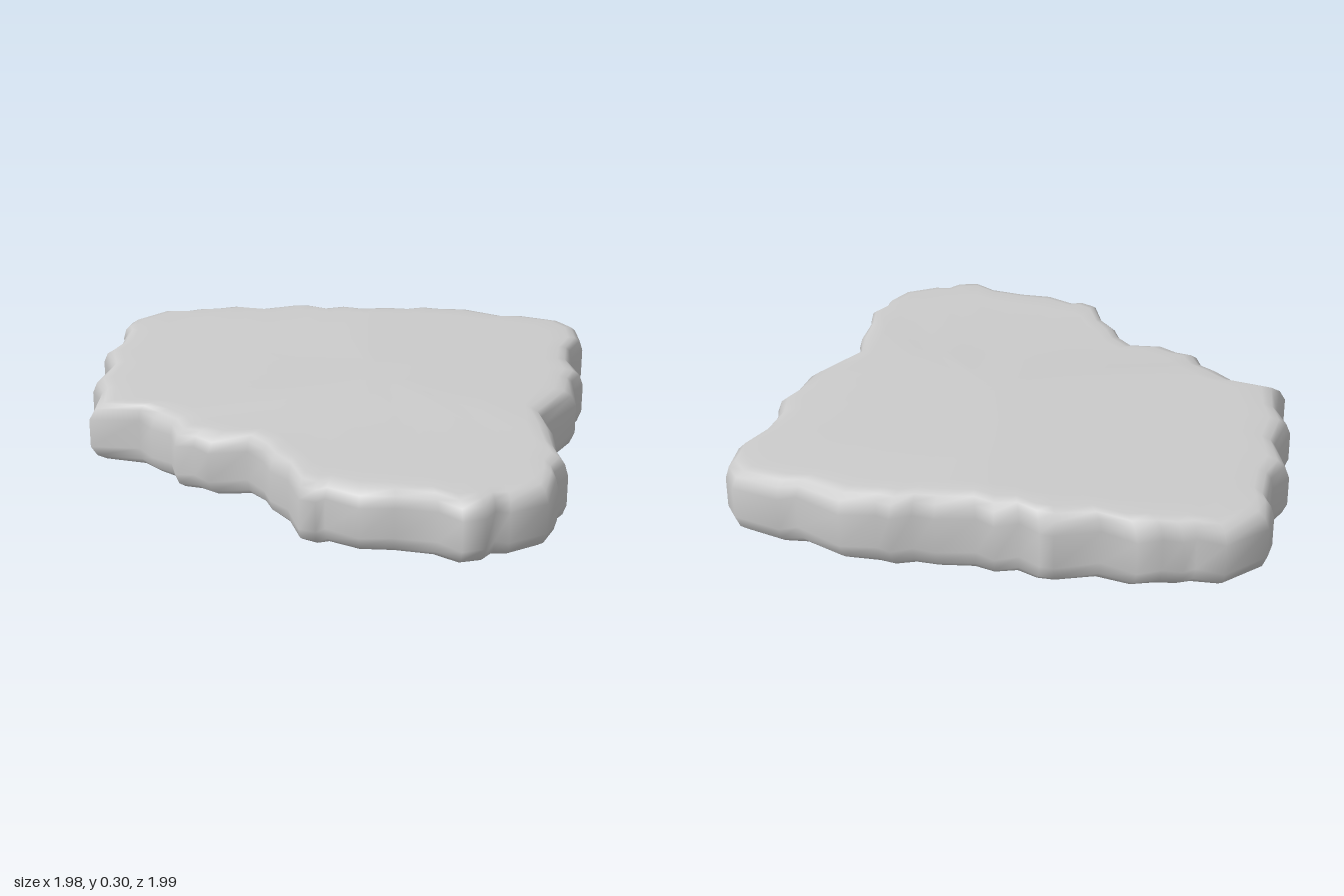
import * as THREE from 'three';

// Ragged rim as x, z pairs, clockwise seen from above
const RIM = [
  -0.95, -0.78, -0.82, -0.92, -0.72, -0.9, -0.68, -0.93, -0.61, -0.93, -0.53, -0.97, -0.4, -0.92,
  -0.25, -0.985, -0.2, -0.98, -0.12, -0.93, -0.04, -0.97, 0.03, -0.93, 0.17, -0.96, 0.25, -0.95,
  0.32, -0.99, 0.37, -0.97, 0.5, -0.99, 0.68, -0.9, 0.74, -0.93, 0.92, -0.88, 0.97, -0.81,
  0.985, -0.67, 0.93, -0.55, 0.92, -0.4, 0.96, -0.27, 0.92, -0.2, 0.92, -0.05, 0.77, 0.2,
  0.82, 0.34, 0.82, 0.5, 0.85, 0.61, 0.8, 0.68, 0.81, 0.73, 0.77, 0.84, 0.64, 0.92,
  0.59, 0.91, 0.56, 0.97, 0.48, 1.0, 0.4, 0.93, 0.25, 0.91, 0.13, 0.92, 0.01, 0.85,
  -0.02, 0.88, -0.08, 0.86, -0.13, 0.71, -0.2, 0.64, -0.23, 0.56, -0.3, 0.47, -0.44, 0.5,
  -0.5, 0.44, -0.57, 0.44, -0.6, 0.34, -0.68, 0.29, -0.74, 0.21, -0.93, 0.21, -0.92, 0.02,
  -0.97, -0.07, -0.93, -0.25, -0.99, -0.41, -0.94, -0.5, -0.94, -0.67, -0.96, -0.7,
];
const CENTER = new THREE.Vector2(0.15, -0.1);

// Half thickness: thickest through the middle and back, thinner to the sides and front
function halfThickness(x, z) {
  const front = THREE.MathUtils.smoothstep(z, -0.05, 0.4);
  return 0.15 - 0.028 * Math.max(Math.abs(x - 0.08), front * 0.9);
}

function slabGeometry() {
  const rim = [];
  for (let i = 0; i < RIM.length; i += 2) rim.push(new THREE.Vector2(RIM[i], RIM[i + 1]));
  const n = rim.length;
  const smooth = rim.map((p, j) => p.clone().multiplyScalar(2)
    .add(rim[(j + 1) % n]).add(rim[(j + n - 1) % n]).multiplyScalar(0.25));

  // Half profile: [scale about the centre, inset, height, share of smoothed rim]
  const half = [
    [0.3, 0, 1, 1], [0.6, 0, 1, 1], [0.85, 0, 1, 0.8], [1, 0.07, 0.99, 0.5],
    [1, 0.035, 0.93, 0.4], [1, 0.012, 0.78, 0.2], [1, 0, 0.45, 0],
  ];
  const rings = [...half, ...half.slice().reverse().map(([s, d, h, m]) => [s, d, -h, m])];

  const pos = [], index = [];
  const put = (x, z, h) => pos.push(x, 0.15 + h * halfThickness(x, z), z);
  for (const [scale, inset, h, mix] of rings) {
    rim.forEach((p, j) => {
      const q = p.clone().lerp(smooth[j], mix).sub(CENTER);
      q.setLength(q.length() * scale - inset).add(CENTER);
      put(q.x, q.y, h);
    });
  }
  const top = rings.length * n, bottom = top + 1, last = top - n;
  put(CENTER.x, CENTER.y, 1);
  put(CENTER.x, CENTER.y, -1);

  for (let j = 0; j < n; j++) {
    const k = (j + 1) % n;
    index.push(top, k, j, bottom, last + j, last + k);
    for (let r = 0; r < last; r += n) {
      index.push(r + j, r + n + k, r + n + j, r + j, r + k, r + n + k);
    }
  }
  const g = new THREE.BufferGeometry();
  g.setAttribute('position', new THREE.Float32BufferAttribute(pos, 3));
  g.setIndex(index);
  g.computeVertexNormals();
  return g;
}

export function createModel() {
  const group = new THREE.Group();
  group.name = 'stoneSlab';
  const slab = new THREE.Mesh(slabGeometry(), new THREE.MeshStandardMaterial({ color: 0xcccccc }));
  slab.name = 'slab';
  group.add(slab);
  return group;
}
